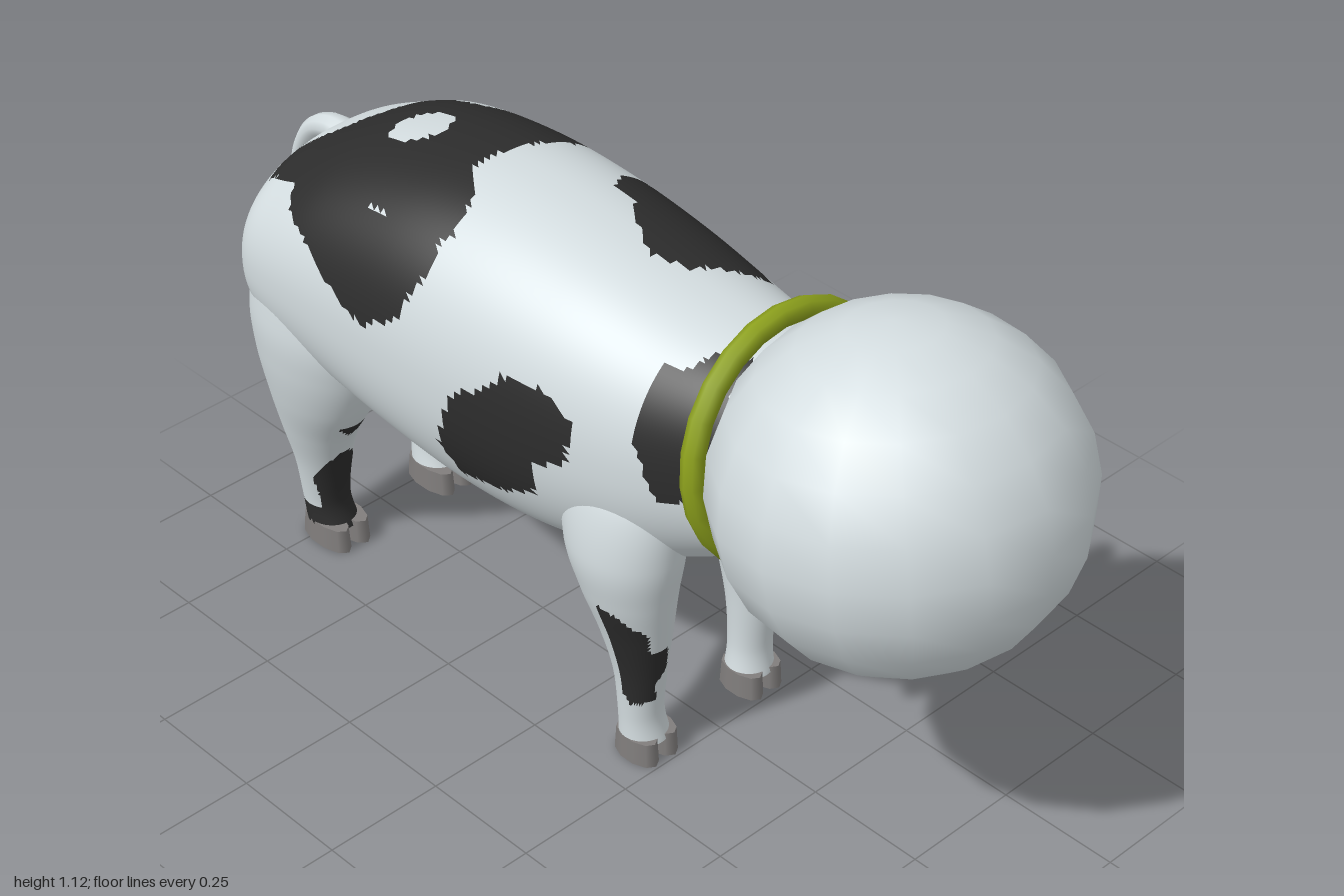
import * as THREE from 'three';

const mat = (name, color) => Object.assign(new THREE.MeshStandardMaterial({ color }), { name });

// Coat patches: outlines seen from above (x, z), from each flank (z, y) and from the front (x, y)
const topPatches = [
  [[-.22, -.79], [-.12, -.8], [-.06, -.74], [.04, -.7], [.1, -.69], [.16, -.7], [.18, -.77], [.24, -.78], [.25, -.64],
    [.19, -.66], [.14, -.63], [.15, -.56], [.23, -.5], [.25, -.46], [.26, -.32], [.15, -.31], [0, -.34], [-.07, -.34],
    [-.12, -.28], [-.19, -.26], [-.27, -.29], [-.27, -.37], [-.21, -.41], [-.21, -.48], [-.26, -.52], [-.25, -.7]],
  [[.08, -.13], [.14, -.165], [.22, -.16], [.25, -.1], [.24, 0], [.21, .06], [.25, .14], [.21, .21], [.12, .19],
    [.02, .13], [-.01, .06], [.05, -.04], [.09, -.08]],
  [[-.22, .24], [-.15, .28], [-.08, .32], [-.06, .38], [-.22, .38]],
];
const leftPatches = [
  // shoulder
  [[.29, .626], [.22, .66], [.14, .647], [.03, .62], [-.075, .66], [-.14, .71], [-.1, .754], [-.107, .81], [-.17, .845],
    [-.26, .82], [-.33, .765], [-.32, .66], [-.28, .626], [-.26, .57], [-.19, .53], [-.155, .46], [-.1, .4],
    [.085, .39], [.1, .36], [.165, .36], [.2, .315], [.23, .41], [.29, .52]],
  // back
  [[-.165, 1.05], [-.165, .957], [-.075, .88], [-.02, .83], [.075, .786], [.15, .8], [.16, .85], [.12, .877],
    [.14, .9], [.2, .915], [.2, .957], [.085, .97], [-.02, 1.05]],
  // rump
  [[-.3, 1.05], [-.35, .95], [-.38, .88], [-.46, .83], [-.51, .86], [-.46, .91], [-.51, .957], [-.58, .96], [-.64, .93],
    [-.64, .87], [-.57, .85], [-.58, .81], [-.66, .785], [-.76, .785], [-.77, .85], [-.81, .88], [-.72, .96], [-.56, 1.05]],
  // hind leg
  [[-.9, .396], [-.75, .38], [-.76, .315], [-.69, .29], [-.69, .25], [-.76, .22], [-.77, .13], [-.79, .1], [-.9, .1]],
];
const rightPatches = [
  [[.04, .81], [.12, .775], [.11, .69], [.04, .65], [.025, .575], [-.07, .53], [-.175, .51], [-.21, .575],
    [-.19, .63], [-.155, .72], [-.09, .75], [-.045, .8]],
  [[.24, .92], [.4, 1], [.4, .72], [.3, .68], [.24, .8]],
  [[-.28, 1.05], [-.27, .9], [-.31, .8], [-.4, .75], [-.5, .79], [-.56, .83], [-.66, .86], [-.72, .9], [-.79, .84],
    [-.82, .86], [-.7, .97], [-.5, 1.05]],
  [[-.55, .36], [-.6, .36], [-.63, .28], [-.71, .18], [-.71, .08], [-.55, .08]],
  [[-.6, .09], [-.9, .09], [-.9, .03], [-.6, .03]],
];
const frontPatches = [
  [[-.27, .42], [-.22, .36], [-.19, .33], [-.18, .28], [-.14, .28], [-.13, .22], [-.16, .19], [-.15, .15],
    [-.19, .14], [-.2, .2], [-.27, .26]],
  [[.12, .2], [.135, .22], [.16, .225], [.17, .2], [.15, .165], [.13, .175]],
];

function inside(poly, u, v) {
  let hit = false;
  poly.forEach(([x1, y1], i) => {
    const [x2, y2] = poly[(i + 1) % poly.length];
    if (y1 > v !== y2 > v && u < x1 + (v - y1) / (y2 - y1) * (x2 - x1)) hit = !hit;
  });
  return hit;
}

function isDark(p, n) {
  const any = (list, u, v) => list.some(poly => inside(poly, u, v));
  if (p.y > .8 && n.y > .75) {
    const island = Math.hypot((p.x + .015) / .065, (p.z + .545) / .053) < 1;
    return !island && any(topPatches, p.x, p.z);
  }
  if (p.y < .45 && p.z > .1 && n.z > 0 && any(frontPatches, p.x, p.y)) return true;
  if (p.x > .06) return any(leftPatches, p.z, p.y);
  return p.x < -.06 && any(rightPatches, p.z, p.y);
}

// Smooth interpolation through a list of stations
function station(list, t) {
  const i = Math.min(Math.floor(t), list.length - 2), f = t - i;
  const at = k => list[Math.max(0, Math.min(list.length - 1, k))];
  return list[i].map((b, k) => {
    const a = at(i - 1)[k], c = at(i + 1)[k], d = at(i + 2)[k];
    return b + .5 * f * (c - a + f * (2 * a - 5 * b + 4 * c - d + f * (3 * (b - c) + d - a)));
  });
}

// Closed rings along the stations, with faces sorted into light and dark coat
function coatLoft(name, stations, steps, cols, point, materials) {
  const rows = (stations.length - 1) * steps, pos = [];
  for (let i = 0; i <= rows; i++) {
    const s = station(stations, i / steps);
    for (let j = 0; j < cols; j++) pos.push(...point(s, j / cols * Math.PI * 2));
  }
  const light = [], dark = [];
  const vert = k => new THREE.Vector3().fromArray(pos, k * 3);
  const tri = new THREE.Triangle(), mid = new THREE.Vector3(), nor = new THREE.Vector3();
  const add = (a, b, c) => {
    tri.set(vert(a), vert(b), vert(c));
    tri.getMidpoint(mid);
    tri.getNormal(nor);
    (isDark(mid, nor) ? dark : light).push(a, b, c);
  };
  for (let i = 0; i < rows; i++) for (let j = 0; j < cols; j++) {
    const k = (j + 1) % cols, a = i * cols + j, b = i * cols + k;
    add(a, a + cols, b);
    add(b, a + cols, b + cols);
  }
  const geo = new THREE.BufferGeometry();
  geo.setAttribute('position', new THREE.Float32BufferAttribute(pos, 3));
  geo.setIndex([...light, ...dark]);
  geo.addGroup(0, light.length, 0);
  geo.addGroup(light.length, dark.length, 1);
  geo.computeVertexNormals();
  const mesh = new THREE.Mesh(geo, materials);
  mesh.name = name;
  return mesh;
}

export function createModel() {
  const group = new THREE.Group();
  const white = mat('white coat', 0xd3dcdf), black = mat('black coat', 0x2c2c2c), green = mat('collar green', 0x8ca01c);
  const pink = mat('udder pink', 0xc4928a), grey = mat('hoof grey', 0x807d7c), tuftGrey = mat('tuft grey', 0x9a9c9d);
  const coat = [white, black];
  const add = (name, geo, material, x, y, z, parent = group) => {
    const m = new THREE.Mesh(geo, material);
    m.name = name;
    m.position.set(x, y, z);
    parent.add(m);
    return m;
  };

  // Body stations: z, top, bottom, half width
  const body = [[.46, .9, .6, .15], [.42, .94, .55, .185], [.35, .955, .505, .205], [.2, .97, .43, .245], [0, 1, .375, .28],
    [-.2, 1.018, .362, .298], [-.4, 1.015, .385, .305], [-.6, .98, .43, .305], [-.73, .925, .46, .29],
    [-.8, .885, .49, .265], [-.84, .83, .53, .21], [-.855, .76, .6, .12], [-.857, .7, .698, .001]];
  const round = v => Math.sign(v) * Math.abs(v) ** .91;
  group.add(coatLoft('body', body, 12, 144, ([z, top, bottom, w], a) =>
    [w * round(Math.cos(a)), (top + bottom) / 2 + (top - bottom) / 2 * round(Math.sin(a)), z], coat));

  // Leg stations: y, x, z, x radius, z radius
  const frontLeg = [[.04, .14, .187, .05, .048], [.1, .145, .183, .045, .043], [.2, .148, .183, .05, .053],
    [.3, .155, .178, .065, .075], [.4, .165, .17, .085, .1], [.5, .165, .16, .1, .125], [.62, .15, .15, .09, .13], [.72, .12, .15, .05, .08]];
  const hindLeg = [[.04, .14, -.73, .05, .055], [.1, .145, -.74, .047, .05], [.2, .155, -.73, .055, .062],
    [.3, .17, -.715, .07, .088], [.4, .18, -.69, .09, .125], [.5, .185, -.675, .105, .158], [.6, .185, -.665, .11, .175],
    [.72, .17, -.66, .1, .16], [.82, .14, -.66, .06, .1]];
  for (const [side, sx] of [['left', 1], ['right', -1]]) {
    for (const [name, legs, hz] of [['FrontLeg', frontLeg, .192], ['HindLeg', hindLeg, -.72]]) {
      group.add(coatLoft(side + name, legs, 10, 60, ([y, x, z, rx, rz], a) =>
        [sx * x + rx * Math.cos(a), y, z + rz * Math.sin(a)], coat));
      // Cloven hoof
      for (const t of [-1, 1]) {
        const toe = add(side + name + 'Toe', new THREE.CylinderGeometry(.026, .028, .052, 10), grey, sx * .14 + t * .025, .026, hz);
        toe.scale.z = hz > 0 ? 1.9 : 2.4;
      }
    }
  }

  // Ball head and collar
  const head = add('head', new THREE.SphereGeometry(.335, 16, 12), white, 0, .802, .665);
  head.scale.set(1.01, .965, 1);
  head.rotation.x = -.12;
  const collar = add('collar', new THREE.TorusGeometry(.23, .022, 8, 24), green, 0, .775, .395);
  collar.rotation.x = -.11;

  // Udder with four teats
  const udder = new THREE.Group();
  udder.name = 'udder';
  group.add(udder);
  add('udderBag', new THREE.SphereGeometry(1, 20, 14), pink, 0, .39, -.435, udder).scale.set(.11, .095, .128);
  for (const x of [-.03, .03]) for (const z of [-.435, -.495]) {
    add('teat', new THREE.CapsuleGeometry(.013, .04, 4, 8), pink, x, .298, z, udder);
  }

  // Tapered tail and its tuft
  const path = new THREE.CatmullRomCurve3([[.855, -.77], [.86, -.83], [.835, -.89], [.77, -.94], [.68, -.963], [.56, -.968]]
    .map(([y, z]) => new THREE.Vector3(0, y, z)));
  const tail = new THREE.TubeGeometry(path, 28, 1, 10);
  const p = new THREE.Vector3(), n = new THREE.Vector3();
  for (let i = 0; i < tail.attributes.position.count; i++) {
    const t = Math.floor(i / 11) / 28;
    p.fromBufferAttribute(tail.attributes.position, i);
    n.fromBufferAttribute(tail.attributes.normal, i);
    p.addScaledVector(n, .009 + .026 * (1 - t) ** 2 - 1);
    tail.attributes.position.setXYZ(i, p.x, p.y, p.z);
  }
  add('tail', tail, white, 0, 0, 0);
  const profile = [[0, 0], [.016, .035], [.03, .07], [.024, .1], [.008, .135], [0, .137]].map(([x, y]) => new THREE.Vector2(x, y));
  add('tailTuft', new THREE.LatheGeometry(profile, 10), tuftGrey, 0, .437, -.968).scale.x = .6;
  return group;
}
